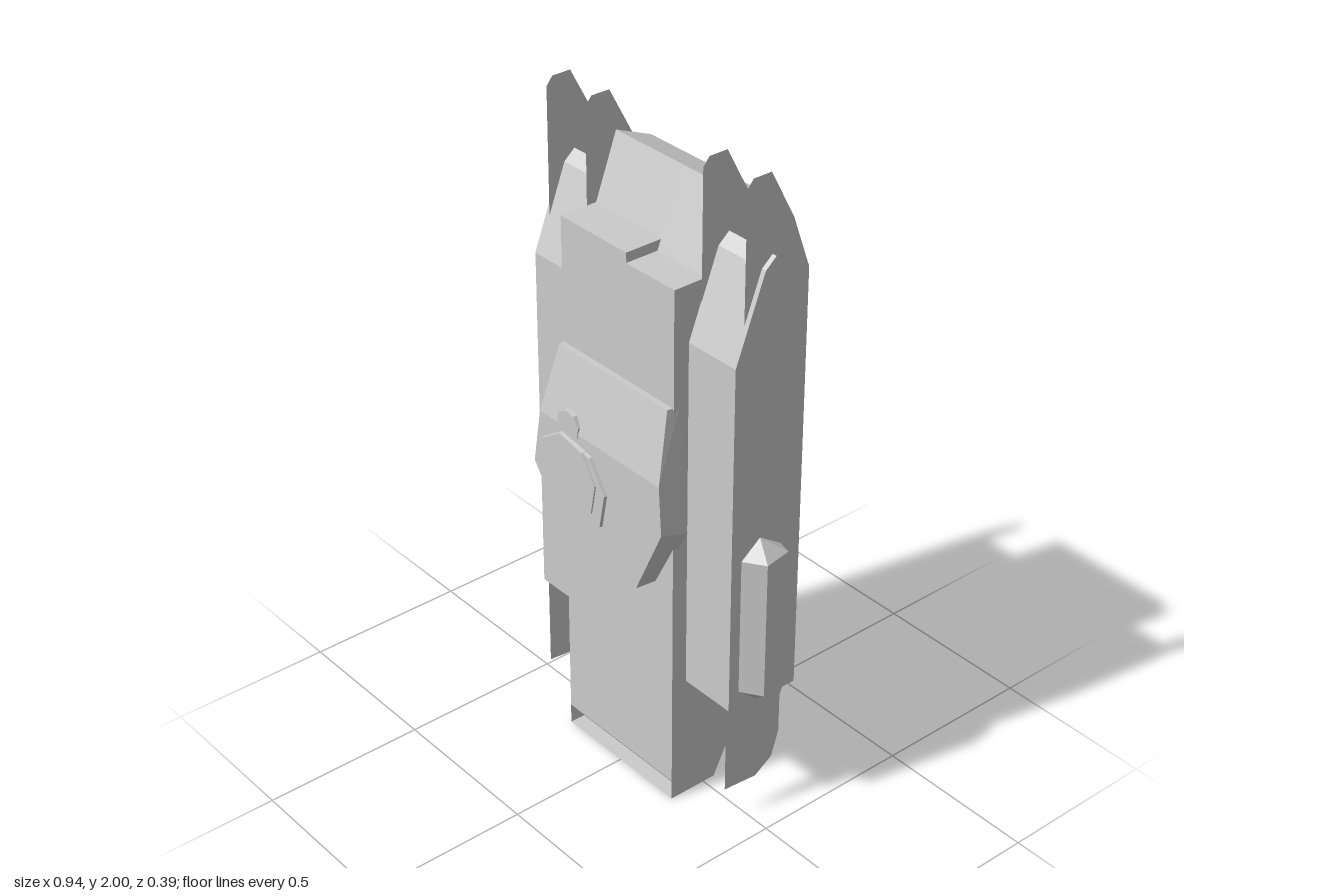
import * as THREE from 'three';
import { ConvexGeometry } from 'three/addons/geometries/ConvexGeometry.js';

const solid = new THREE.MeshStandardMaterial({ color: 0xcccccc, flatShading: true });
const thin = new THREE.MeshStandardMaterial({ color: 0xcccccc, flatShading: true, side: THREE.DoubleSide });

// Profiles are lists of [z, y]; the turn by 90 degrees sends depth to +x
const profile = (pts) => new THREE.Shape(pts.map(([z, y]) => new THREE.Vector2(-z, y)));

function prism(pts, x0, x1) {
  const g = new THREE.ExtrudeGeometry(profile(pts), { depth: x1 - x0, bevelEnabled: false });
  return g.rotateY(Math.PI / 2).translate(x0, 0, 0);
}

function plate(pts, x) {
  return new THREE.ShapeGeometry(profile(pts)).rotateY(Math.PI / 2).translate(x, 0, 0);
}

const convex = (pts) => new ConvexGeometry(pts.map((p) => new THREE.Vector3(...p)));

export function createModel() {
  const model = new THREE.Group();
  const add = (name, geometry, material = solid) => {
    const mesh = new THREE.Mesh(geometry, material);
    mesh.name = name;
    model.add(mesh);
    return mesh;
  };

  // Hull in two strips, one with a slightly lower front deck
  const hull = (deckY, deckZ) => [
    [0.12, 0.065], [0.11, 0.05], [-0.065, 0.05], [-0.19, 0.3],
    [-0.19, 1.83], [-0.07, 1.88], [deckZ, deckY], [0.12, deckY],
  ];
  add('hullRight', prism(hull(1.69, 0), -0.23, 0.04));
  add('hullLeft', prism(hull(1.66, 0.015), 0.04, 0.23));

  // Open slot under the hull, closed by a thin floor and a sloped rear panel
  const floor = new THREE.PlaneGeometry(0.46, 0.16).rotateX(Math.PI / 2).translate(0, 0, 0.04);
  add('hullFloor', floor, thin);
  const rear = new THREE.PlaneGeometry(0.46, 0.056).rotateY(Math.PI)
    .rotateX(-Math.atan2(0.025, 0.05)).translate(0, 0.025, -0.0525);
  add('hullRearPanel', rear);

  const cheek = [[0.12, 0], [-0.04, 0], [-0.065, 0.05], [0.11, 0.05], [0.12, 0.065]];

  // Thin track plate with pointed upper end and narrow tail
  const track = [
    [0.065, 0.11], [-0.05, 0.1], [-0.11, 0.14], [-0.135, 0.22], [-0.135, 0.37],
    [-0.188, 0.37], [-0.188, 1.69], [-0.13, 1.85], [-0.05, 2], [0.01, 2],
    [0.03, 1.975], [0.03, 1.55], [0.065, 1.4],
  ];

  // Side skirt box
  const skirt = [
    [0.07, 0.4], [-0.095, 0.3], [-0.135, 0.4], [-0.135, 1.66],
    [-0.1, 1.73], [-0.06, 1.77], [-0.025, 1.74], [0.07, 1.49],
  ];

  for (const s of [-1, 1]) {
    const side = s > 0 ? 'Left' : 'Right';
    add('hullCheek' + side, plate(cheek, s * 0.23), thin);
    add('innerTrack' + side, plate(track, s * 0.232), thin);
    add('outerTrack' + side, plate(track, s * 0.395), thin);
    add('skirt' + side, prism(skirt, s > 0 ? 0.23 : -0.41, s > 0 ? 0.41 : -0.23));

    // Faceted pod on the skirt, tapering at both ends
    const pod = [[s * 0.41, 0.935, -0.03], [s * 0.41, 0.395, -0.03]];
    for (const y of [0.45, 0.885]) {
      pod.push([s * 0.41, y, 0.035], [s * 0.47, y, -0.005], [s * 0.455, y, -0.093], [s * 0.41, y, -0.105]);
    }
    add('sidePod' + side, convex(pod));
  }

  // Turret with sloped upper face
  add('turret', convex([
    [-0.23, 1.31, 0.1], [0.23, 1.31, 0.1], [-0.29, 0.93, 0.1], [0.265, 0.93, 0.1],
    [-0.15, 0.725, 0.1], [0.16, 0.725, 0.1],
    [-0.225, 1.31, 0.138], [0.225, 1.31, 0.138], [-0.26, 1.1, 0.183], [0.245, 1.1, 0.183],
    [-0.29, 0.925, 0.183], [0.255, 0.95, 0.183], [-0.15, 0.725, 0.183], [0.15, 0.725, 0.183],
  ]));

  // Cupola: eight-sided rim with a slightly smaller lid, and a small hatch above
  const disc = (r0, r1, depth, x, y, z) => new THREE.CylinderGeometry(r1, r0, depth, 8)
    .rotateX(Math.PI / 2).rotateZ(0.2).translate(x, y, z);
  add('cupolaRim', disc(0.152, 0.145, 0.03, -0.115, 0.935, 0.177));
  add('cupolaLid', disc(0.132, 0.128, 0.02, -0.133, 0.955, 0.186));
  add('smallHatch', disc(0.052, 0.046, 0.05, -0.135, 1.112, 0.16));

  return model;
}
